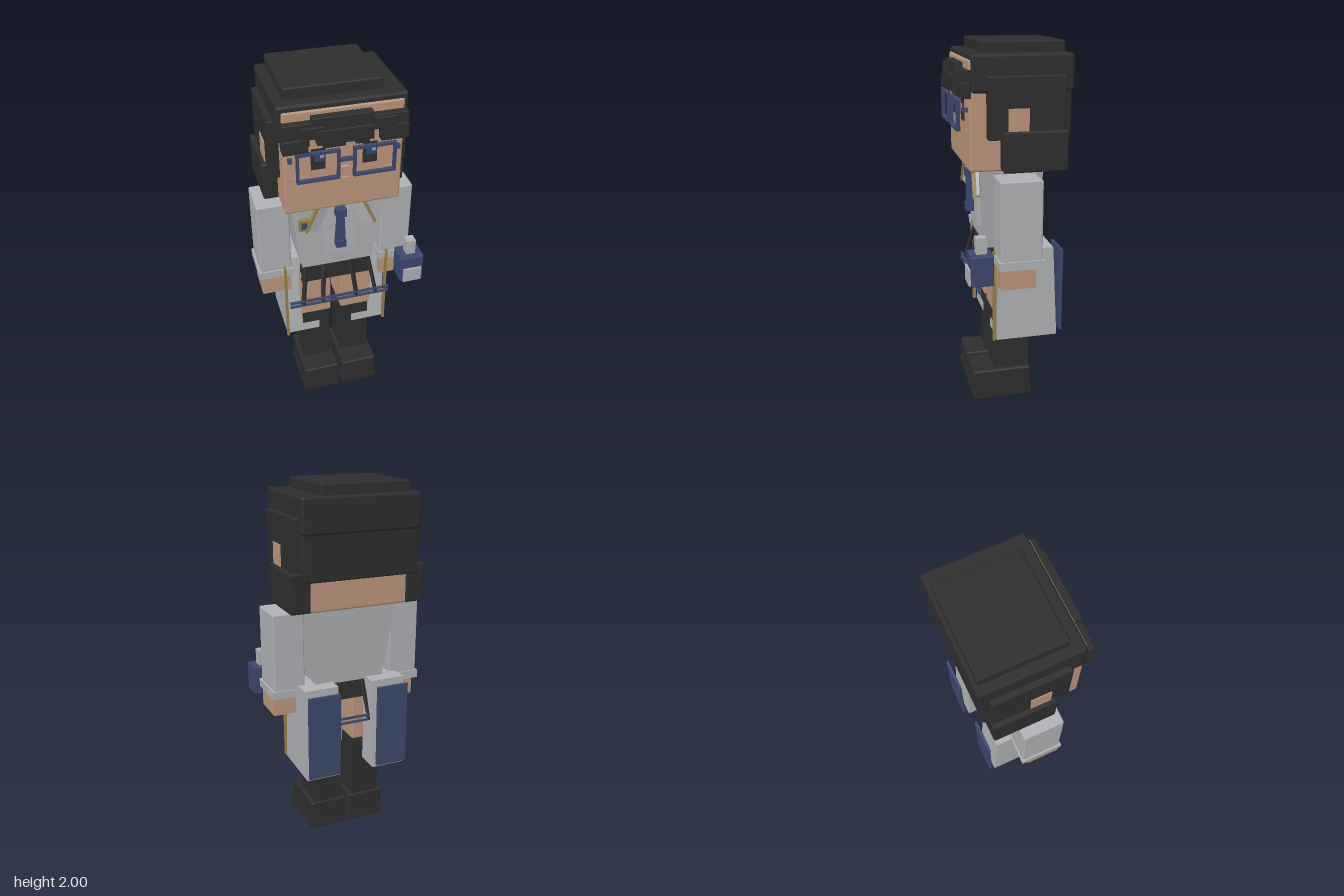
import * as THREE from 'three';
import { RoundedBoxGeometry } from 'three/addons/geometries/RoundedBoxGeometry.js';

const mat = (name, color) => Object.assign(new THREE.MeshStandardMaterial({ color }), { name });

export function createModel() {
  const root = new THREE.Group();
  root.name = 'blockCharacter';
  const dark = mat('charcoal', 0x2e2e2e), skin = mat('skin', 0xbd967c), grey = mat('clothGrey', 0xb0b2b5),
    navy = mat('navy', 0x3c486e), gold = mat('gold', 0x97804a), shine = mat('eyeShine', 0x8fa0b8);
  const C = -0.014; // the body's centre line

  const add = (name, geo, m, parent = root) => {
    const mesh = new THREE.Mesh(geo, m);
    mesh.name = name;
    parent.add(mesh);
    return mesh;
  };
  // box from its limits, with an optional edge bevel
  const box = (name, m, x0, x1, y0, y1, z0, z1, bevel = 0) => {
    const s = [x1 - x0, y1 - y0, z1 - z0];
    const geo = bevel ? new RoundedBoxGeometry(...s, 1, bevel) : new THREE.BoxGeometry(...s);
    geo.translate((x0 + x1) / 2, (y0 + y1) / 2, (z0 + z1) / 2);
    return add(name, geo, m);
  };
  // a box on each side, from near and far distances to the centre line
  const pair = (name, m, near, far, ...rest) => {
    box('left' + name, m, C + near, C + far, ...rest);
    box('right' + name, m, C - far, C - near, ...rest);
  };
  // prism between a bottom and a top rectangle [x0, x1, z0, z1]
  const frustum = (name, m, y0, y1, bottom, top) => {
    const geo = new THREE.BoxGeometry(1, 1, 1).toNonIndexed(), p = geo.attributes.position;
    for (let i = 0; i < p.count; i++) {
      const up = p.getY(i) > 0, r = up ? top : bottom;
      p.setXYZ(i, r[p.getX(i) > 0 ? 1 : 0], up ? y1 : y0, r[p.getZ(i) > 0 ? 3 : 2]);
    }
    geo.computeVertexNormals();
    return add(name, geo, m);
  };
  // thin bar between two points
  const bar = (name, m, a, b, w, d) => {
    const A = new THREE.Vector3(...a), B = new THREE.Vector3(...b);
    const mesh = add(name, new THREE.BoxGeometry(w, A.distanceTo(B), d), m);
    mesh.position.copy(A).add(B).multiplyScalar(0.5);
    mesh.quaternion.setFromUnitVectors(new THREE.Vector3(0, 1, 0), B.sub(A).normalize());
    return mesh;
  };

  // legs and shoes
  pair('ShoeSole', dark, 0.01, 0.228, 0, 0.04, -0.117, 0.222);
  pair('Shoe', dark, 0.013, 0.224, 0.03, 0.17, -0.113, 0.218, 0.01);
  pair('Sock', dark, 0.035, 0.2, 0.16, 0.53, -0.105, 0.095);
  pair('Thigh', skin, 0.03, 0.208, 0.535, 0.83, -0.11, 0.105, 0.008);

  // shorts, pleats and hem lines
  frustum('skirt', dark, 0.8, 0.915, [C - 0.205, C + 0.205, -0.125, 0.13], [C - 0.19, C + 0.19, -0.115, 0.13]);
  for (const side of [1, -1]) {
    const face = side > 0 ? 'front' : 'back';
    for (const [t, b] of [[-0.18, -0.215], [-0.078, -0.1], [0.078, 0.1], [0.18, 0.215]])
      bar(face + 'Pleat', dark, [C + t, 0.91, side * 0.13], [C + b, 0.68, side * 0.19], 0.022, 0.016);
    for (const y of [0.685, 0.712])
      box(face + 'HemLine', navy, C - 0.29, C + 0.29, y - 0.005, y + 0.005, side * 0.192 - 0.007, side * 0.192 + 0.007);
  }

  // coat tails with navy back panels and gold edges
  for (const [name, a, b] of [['left', C + 0.1, C + 0.297], ['right', C - 0.297, C - 0.1]]) {
    frustum(name + 'CoatTail', grey, 0.4, 0.92, [a, b, -0.24, 0.1], [a, b, -0.212, 0.05]);
  }
  pair('TailPanel', navy, 0.11, 0.297, 0.42, 0.9, -0.271, -0.255, 0.004);
  pair('TailTrim', gold, 0.288, 0.302, 0.4, 0.92, 0.105, 0.124);

  // torso and shirt front
  frustum('torso', grey, 0.91, 1.36, [C - 0.2, C + 0.2, -0.135, 0.135], [C - 0.265, C + 0.265, -0.16, 0.16]);
  box('shirtPanel', grey, C - 0.095, C + 0.095, 1.0, 1.34, 0.12, 0.167);
  for (const s of [1, -1]) {
    bar('lapel', grey, [C + s * 0.08, 1.35, 0.165], [C + s * 0.155, 1.19, 0.175], 0.06, 0.03);
    bar('lapelTrim', gold, [C + s * 0.118, 1.355, 0.19], [C + s * 0.19, 1.195, 0.195], 0.013, 0.022);
  }
  box('badge', gold, -0.235, -0.183, 1.2, 1.265, 0.165, 0.19);
  box('badgeFace', navy, -0.225, -0.195, 1.215, 1.252, 0.185, 0.197);

  // tie
  box('tieKnot', navy, C - 0.028, C + 0.028, 1.265, 1.31, 0.165, 0.213);
  frustum('tieBlade', navy, 1.1, 1.265, [C - 0.026, C + 0.026, 0.17, 0.207], [C - 0.017, C + 0.017, 0.17, 0.207]);
  box('tieTip', navy, C - 0.027, C + 0.027, 1.07, 1.115, 0.17, 0.213);

  // arms
  pair('Sleeve', grey, 0.256, 0.43, 0.89, 1.33, -0.115, 0.108, 0.008);
  pair('Cuff', grey, 0.25, 0.44, 0.86, 0.905, -0.122, 0.117);
  pair('Hand', skin, 0.262, 0.426, 0.75, 0.87, -0.08, 0.11);

  // spray can held in the left hand
  box('canBody', navy, 0.315, 0.448, 0.795, 0.958, 0.15, 0.27, 0.006);
  box('canNozzle', grey, 0.355, 0.407, 0.95, 1.045, 0.18, 0.235);
  box('canLabel', grey, 0.33, 0.434, 0.8, 0.885, 0.268, 0.281);

  // head and ears
  box('head', skin, C - 0.303, C + 0.303, 1.357, 1.915, -0.25, 0.24, 0.012);
  pair('Ear', skin, 0.29, 0.359, 1.56, 1.682, -0.055, 0.052);

  // hair
  box('hairCap', dark, C - 0.325, C + 0.325, 1.755, 1.943, -0.298, 0.23, 0.016);
  box('hairCrown', dark, C - 0.275, C + 0.22, 1.9, 2.0, -0.278, 0.16, 0.01);
  box('hairBack', dark, C - 0.318, C + 0.318, 1.52, 1.77, -0.286, -0.2, 0.01);
  pair('HairSide', dark, 0.28, 0.354, 1.525, 1.84, -0.25, 0.153, 0.008);
  pair('HairSideLow', dark, 0.27, 0.38, 1.36, 1.568, -0.258, 0.08, 0.01);

  // fringe locks
  const locks = [
    [-0.325, 0.297, 1.8, 1.868, 0.278], [-0.18, 0.12, 1.83, 1.892, 0.284],
    [-0.365, -0.19, 1.745, 1.845, 0.27], [-0.325, -0.2, 1.72, 1.79, 0.288],
    [-0.16, 0.12, 1.755, 1.83, 0.295], [-0.235, -0.12, 1.79, 1.85, 0.292],
    [0.12, 0.235, 1.8, 1.86, 0.292], [0.16, 0.3, 1.73, 1.81, 0.285],
    [-0.13, -0.02, 1.735, 1.78, 0.29], [0.03, 0.1, 1.735, 1.78, 0.288],
  ];
  for (const [x0, x1, y0, y1, z] of locks) box('fringeLock', dark, Math.max(x0, -0.328), x1, y0, y1, 0.23, z, 0.004);

  // eyes, brows, nose and mouth
  for (const s of [1, -1]) {
    const x = C + s * 0.131;
    box('eye', dark, x - 0.036, x + 0.036, 1.6, 1.712, 0.235, 0.246);
    box('iris', navy, x - 0.02, x + 0.032, 1.645, 1.685, 0.24, 0.249);
    box('eyeGlint', shine, x + 0.008, x + 0.027, 1.665, 1.685, 0.243, 0.252);
    box('cheek', skin, C + s * 0.235 - 0.03, C + s * 0.235 + 0.03, 1.552, 1.568, 0.235, 0.246);
  }
  box('nose', skin, C - 0.019, C + 0.019, 1.562, 1.602, 0.235, 0.262);
  box('mouth', skin, C - 0.034, C + 0.034, 1.52, 1.535, 0.235, 0.25);

  // glasses: two square rims, bridge and hinges
  for (const s of [1, -1]) {
    const x = C + s * 0.142, w = 0.108, t = 0.013;
    const rim = new THREE.Shape([[-w, -0.08], [w, -0.08], [w, 0.08], [-w, 0.08]].map(p => new THREE.Vector2(...p)));
    rim.holes.push(new THREE.Path([[t - w, t - 0.08], [t - w, 0.08 - t], [w - t, 0.08 - t], [w - t, t - 0.08]]
      .map(p => new THREE.Vector2(...p))));
    add('glassesRim', new THREE.ExtrudeGeometry(rim, { depth: 0.022, bevelEnabled: false }), navy)
      .position.set(x, 1.642, 0.276);
    box('glassesHinge', navy, C + s * 0.272 - 0.01, C + s * 0.272 + 0.01, 1.66, 1.682, 0.235, 0.262);
  }
  box('glassesBridge', navy, C - 0.038, C + 0.038, 1.655, 1.67, 0.276, 0.298);

  return root;
}
